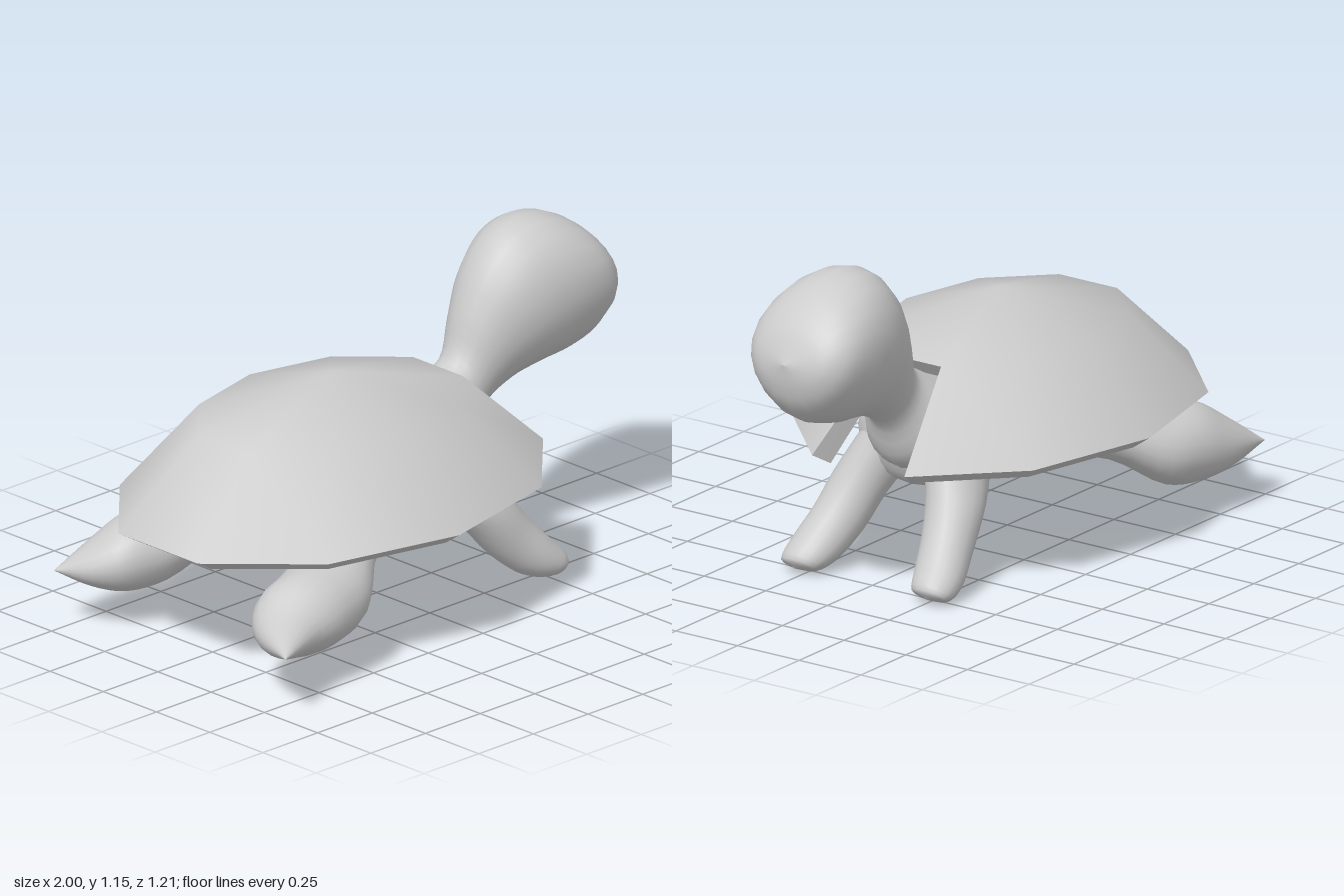
import * as THREE from 'three';
import { toCreasedNormals } from 'three/addons/utils/BufferGeometryUtils.js';

const material = new THREE.MeshStandardMaterial({ color: 0xcccccc });

function part(name, geometry) {
  const mesh = new THREE.Mesh(geometry, material);
  mesh.name = name;
  return mesh;
}

// Smooth skin over oval sections [topX, topY, bottomX, bottomY, z, halfWidth].
// s = -1 mirrors it across z; yaw turns the width direction.
function loft(sections, s = 1, yaw = 0, sides = 20, stepsPer = 4) {
  const curve = (f) => new THREE.CatmullRomCurve3(sections.map(f));
  const top = curve((p) => new THREE.Vector3(p[0], p[1], p[4] * s));
  const bottom = curve((p) => new THREE.Vector3(p[2], p[3], p[4] * s));
  const width = curve((p, i) => new THREE.Vector3(p[5], i * 0.1, 0));
  const steps = (sections.length - 1) * stepsPer;
  const pos = [], index = [];
  for (let i = 0; i <= steps; i++) {
    const t = top.getPoint(i / steps), b = bottom.getPoint(i / steps);
    const c = t.clone().add(b).multiplyScalar(0.5);
    const up = t.sub(c);
    const w = Math.max(0, width.getPoint(i / steps).x);
    const side = new THREE.Vector3(s * Math.sin(yaw), 0, Math.cos(yaw)).multiplyScalar(w);
    for (let j = 0; j < sides; j++) {
      const a = (j / sides) * Math.PI * 2;
      const p = c.clone().addScaledVector(up, Math.cos(a)).addScaledVector(side, Math.sin(a));
      pos.push(p.x, p.y, p.z);
      if (i < steps) {
        const k = (j + 1) % sides, r = i * sides, n = r + sides;
        index.push(r + j, r + k, n + j, r + k, n + k, n + j);
      }
    }
  }
  const g = new THREE.BufferGeometry();
  g.setAttribute('position', new THREE.Float32BufferAttribute(pos, 3));
  g.setIndex(index);
  g.computeVertexNormals();
  return g;
}

// Ten-sided domed shell with thickness and a notch for the neck
function shellGeometry() {
  const cx = -0.21, n = 10, pos = [];
  const ring = (y, rx, rz) => Array.from({ length: n }, (_, k) => {
    const a = ((18 + 36 * k) * Math.PI) / 180;
    return [cx + rx * Math.cos(a), y, rz * Math.sin(a)];
  });
  const tri = (a, b, c) => pos.push(...a, ...b, ...c);
  const quad = (a, b, c, d) => { tri(a, b, c); tri(a, c, d); };
  const lo = ring(0.435, 0.83, 0.605), uo = ring(0.72, 0.515, 0.38), ao = [cx, 0.84, 0];
  const li = ring(0.39, 0.75, 0.54), ui = ring(0.67, 0.475, 0.35), ai = [cx, 0.78, 0];
  for (let j = 0; j < n; j++) {
    const k = (j + 1) % n;
    tri(uo[j], ao, uo[k]);
    tri(ui[k], ai, ui[j]);
    if (j === n - 1) continue; // neck notch
    quad(lo[j], uo[j], uo[k], lo[k]);
    quad(li[k], ui[k], ui[j], li[j]);
    quad(lo[j], lo[k], li[k], li[j]);
  }
  // Thickness around the notch
  quad(uo[9], uo[0], ui[0], ui[9]);
  quad(li[0], ui[0], uo[0], lo[0]);
  quad(lo[9], uo[9], ui[9], li[9]);
  const g = new THREE.BufferGeometry();
  g.setAttribute('position', new THREE.Float32BufferAttribute(pos, 3));
  return toCreasedNormals(g, 0.85);
}

export function createModel() {
  const group = new THREE.Group();
  group.name = 'turtle';

  group.add(part('shell', shellGeometry()));

  group.add(part('torso', loft([
    [-0.72, 0.45, -0.72, 0.45, 0, 0],
    [-0.65, 0.53, -0.65, 0.37, 0, 0.17],
    [-0.45, 0.58, -0.45, 0.29, 0, 0.29],
    [-0.1, 0.62, -0.1, 0.25, 0, 0.33],
    [0.15, 0.62, 0.17, 0.265, 0, 0.28],
    [0.29, 0.6, 0.31, 0.31, 0, 0.2],
    [0.37, 0.46, 0.37, 0.46, 0, 0],
  ])));

  group.add(part('neckAndHead', loft([
    [0.12, 0.62, 0.17, 0.3, 0, 0.2],
    [0.27, 0.69, 0.38, 0.39, 0, 0.15],
    [0.34, 0.74, 0.45, 0.54, 0, 0.1],
    [0.39, 0.88, 0.56, 0.605, 0, 0.13],
    [0.46, 1.02, 0.67, 0.63, 0, 0.175],
    [0.56, 1.12, 0.79, 0.645, 0, 0.205],
    [0.68, 1.148, 0.9, 0.685, 0, 0.215],
    [0.82, 1.11, 0.96, 0.75, 0, 0.2],
    [0.93, 1.02, 0.985, 0.82, 0, 0.14],
    [0.995, 0.9, 0.995, 0.9, 0, 0],
  ])));

  for (const s of [1, -1]) {
    const side = s > 0 ? 'Near' : 'Far';

    group.add(part('frontLeg' + side, loft([
      [0.3, 0.52, 0.04, 0.36, 0.1, 0.11],
      [0.39, 0.32, 0.19, 0.25, 0.185, 0.1],
      [0.45, 0.22, 0.32, 0.1, 0.22, 0.092],
      [0.53, 0.125, 0.42, 0.02, 0.25, 0.088],
      [0.585, 0.06, 0.5, 0.0, 0.265, 0.068],
      [0.565, 0.022, 0.565, 0.022, 0.268, 0],
    ], s)));

    // Broad rear paddle ending in a pointed tip
    const tip = s > 0 ? [-1, 0.215, -1, 0.215, 0.6, 0] : [-0.97, 0.2, -0.97, 0.2, 0.52, 0];
    group.add(part('rearFlipper' + side, loft([
      tip,
      [-0.86, 0.29, -0.86, 0.14, 0.46, 0.1],
      [-0.75, 0.365, -0.75, 0.11, 0.41, 0.155],
      [-0.61, 0.385, -0.61, 0.125, 0.365, 0.16],
      [-0.43, 0.43, -0.43, 0.24, 0.27, 0.12],
      [-0.22, 0.5, -0.22, 0.29, 0.14, 0.13],
    ], s, 0.7)));
  }
  return group;
}
